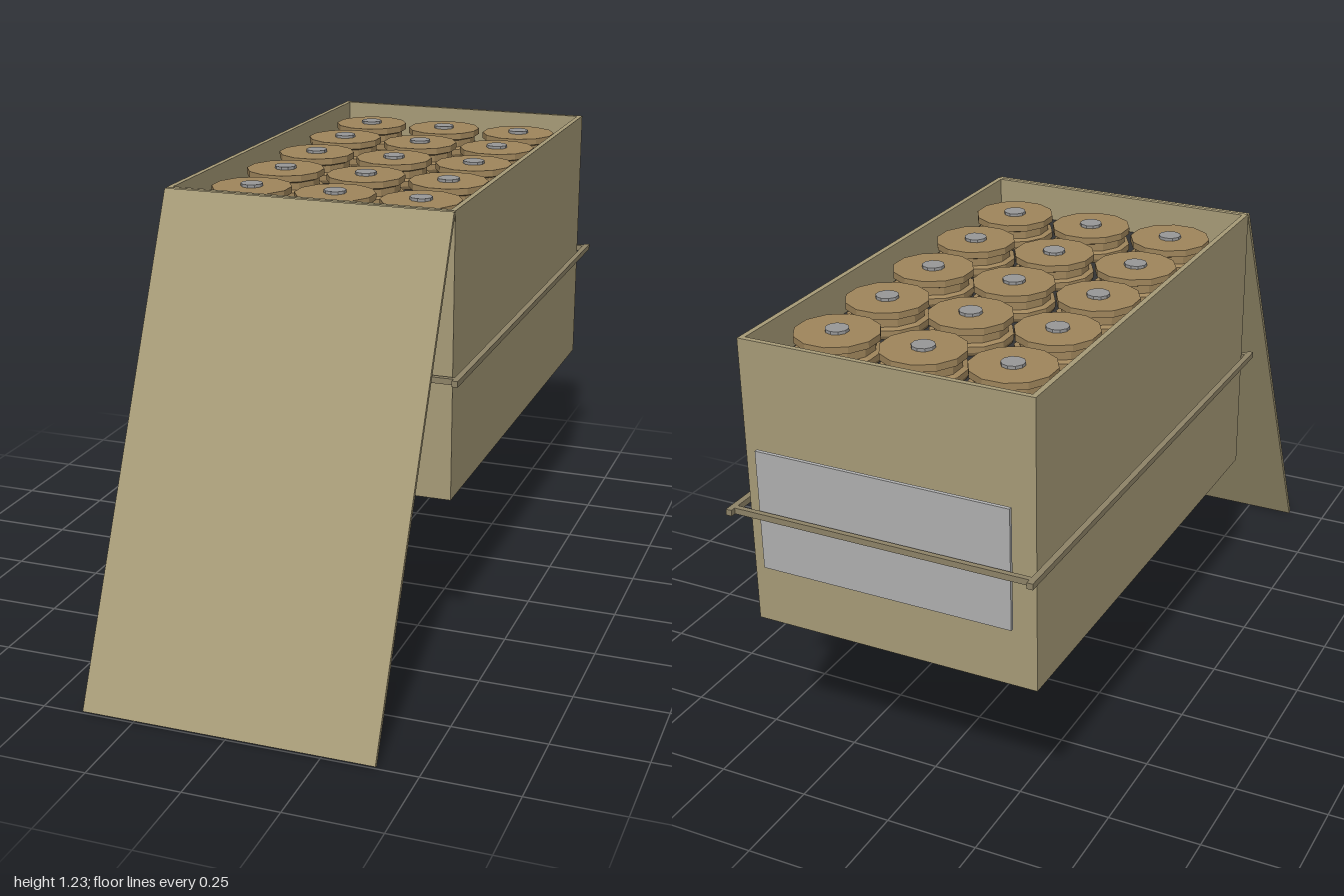
import * as THREE from 'three';

export function createModel() {
  const root = new THREE.Group();
  const mat = (color) => new THREE.MeshStandardMaterial({ color, flatShading: true });
  const tan = mat(0xa89c78), strapTan = mat(0x8f8468), dark = mat(0x333333);
  const wood = mat(0xa0865c), plate = mat(0xb0b0b0), metal = mat(0x999999);

  const add = (name, geometry, material, x, y, z, parent = root) => {
    const mesh = new THREE.Mesh(geometry, material);
    mesh.name = name;
    mesh.position.set(x, y, z);
    parent.add(mesh);
    return mesh;
  };
  const box = (name, w, h, d, material, x, y, z) =>
    add(name, new THREE.BoxGeometry(w, h, d), material, x, y, z);

  // Open crate
  const W = 0.78, H = 0.765, D = 1.35, T = 0.014;
  const bottom = 0.465, midY = bottom + H / 2, midZ = -0.255;
  box('crateFloor', W, T, D, tan, 0, bottom + T / 2, midZ);
  for (const s of [-1, 1]) {
    box(s > 0 ? 'leftWall' : 'rightWall', T, H - T, D, tan, s * (W - T) / 2, midY + T / 2, midZ);
    box(s > 0 ? 'frontWall' : 'backWall', W - 2 * T, H - T, T, tan, 0, midY + T / 2, midZ + s * (D - T) / 2);
  }

  // Dark tray that holds the canisters
  box('tray', W - 2 * T, 0.65, D - 2 * T, dark, 0, 0.805, midZ);

  // Lid hanging open from the front top edge
  const lid = box('lid', W, 1.347, 0.012, tan, 0, 0.617, 0.71);
  lid.rotation.x = -Math.atan2(0.57, 1.22);

  // Strap bars around the crate
  for (const s of [-1, 1]) {
    box(s > 0 ? 'leftStrap' : 'rightStrap', 0.016, 0.016, 1.455, strapTan, s * 0.406, 0.795, -0.2725);
  }
  box('backStrap', 0.82, 0.016, 0.014, strapTan, 0, 0.795, -0.979);
  box('frontStrap', 0.82, 0.016, 0.014, strapTan, 0, 0.795, 0.434);

  // Blank label plate behind the crate
  box('labelPlate', 0.68, 0.32, 0.01, plate, 0, 0.8, -0.96);

  // Canisters: a grooved twelve-sided body with a metal hub, 3 by 5
  const profile = [[0, 1.125], [0.1, 1.125], [0.108, 1.14], [0.108, 1.155], [0.095, 1.16],
    [0.095, 1.18], [0.108, 1.185], [0.108, 1.203], [0, 1.203]].map(([r, y]) => new THREE.Vector2(r, y));
  const canister = new THREE.LatheGeometry(profile, 12).rotateY(Math.PI / 12);
  const hub = new THREE.CylinderGeometry(0.03, 0.03, 0.014, 10);
  for (let col = -1; col <= 1; col++) {
    for (let row = 0; row < 5; row++) {
      const group = new THREE.Group();
      group.name = 'canister';
      group.position.set(col * 0.237, 0, -0.735 + row * 0.2385);
      add('canisterBody', canister, wood, 0, 0, 0, group);
      add('canisterHub', hub, metal, 0, 1.204, 0, group);
      root.add(group);
    }
  }
  return root;
}
